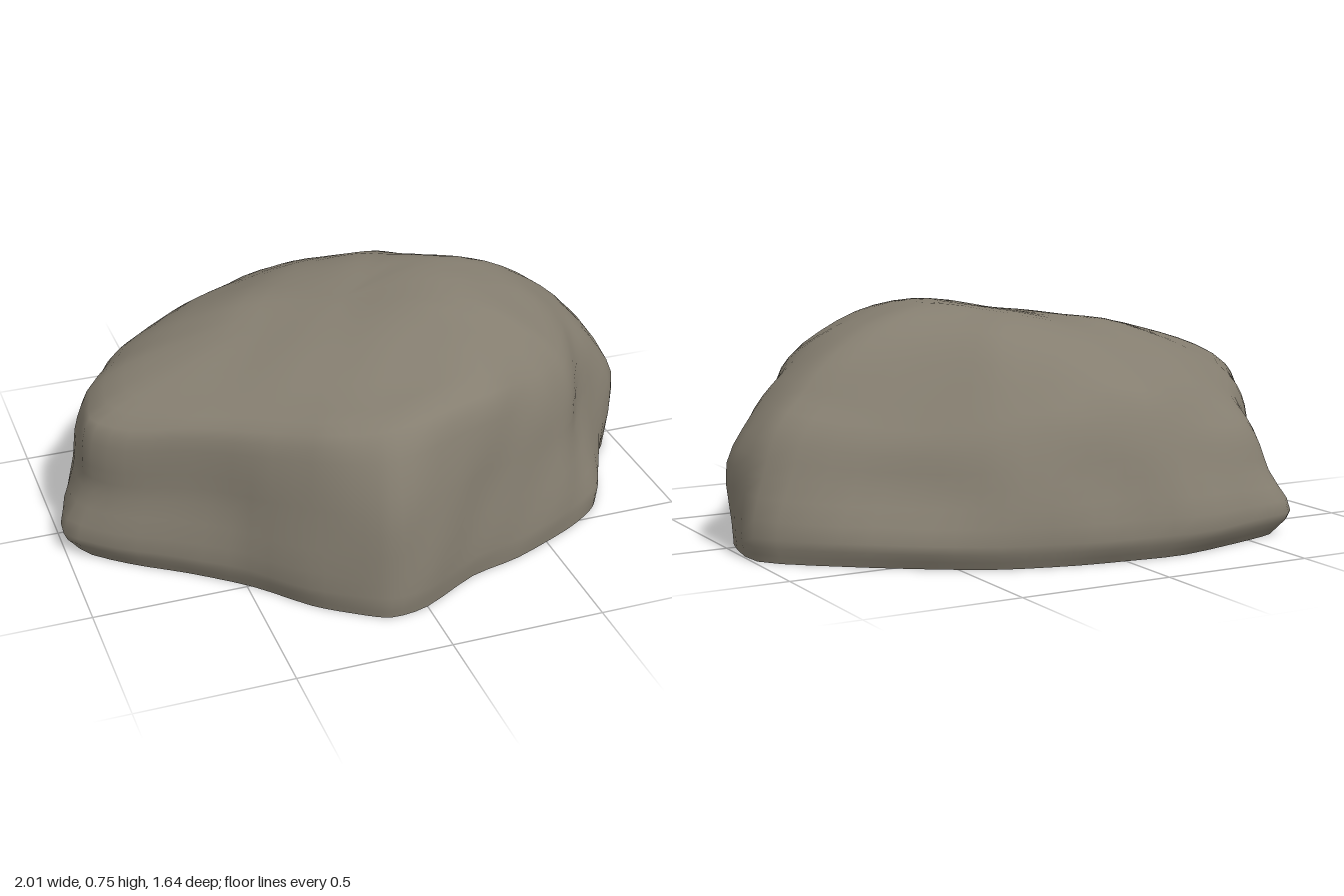
import * as THREE from 'three';
import { mergeVertices } from 'three/addons/utils/BufferGeometryUtils.js';

// Plan outline x, z, then flank scale at mid height, shoulder scale and shoulder height
const OUTLINE = [
  [1.0, -0.22, 0.96, 0.8, 0.52], [0.97, 0.04, 1.0, 0.81, 0.53], [0.88, 0.17, 0.96, 0.83, 0.55],
  [0.78, 0.38, 0.91, 0.82, 0.56], [0.72, 0.46, 0.91, 0.82, 0.55], [0.6, 0.54, 0.94, 0.83, 0.56],
  [0.38, 0.64, 0.96, 0.86, 0.59], [0.2, 0.69, 0.97, 0.89, 0.6], [0.0, 0.8, 0.98, 0.84, 0.6],
  [-0.13, 0.82, 0.98, 0.83, 0.59], [-0.24, 0.76, 0.97, 0.85, 0.58], [-0.35, 0.68, 0.96, 0.87, 0.57],
  [-0.5, 0.52, 0.96, 0.9, 0.54], [-0.68, 0.38, 0.95, 0.91, 0.52], [-0.86, 0.26, 0.95, 0.91, 0.48],
  [-1.0, 0.12, 0.93, 0.88, 0.47], [-0.94, -0.08, 0.97, 0.9, 0.48], [-0.87, -0.2, 0.96, 0.9, 0.48],
  [-0.83, -0.35, 0.93, 0.86, 0.47], [-0.72, -0.48, 0.95, 0.86, 0.45], [-0.68, -0.68, 0.93, 0.79, 0.41],
  [-0.56, -0.74, 0.93, 0.79, 0.42], [-0.22, -0.82, 0.95, 0.79, 0.49], [0.0, -0.8, 0.95, 0.79, 0.52],
  [0.18, -0.77, 0.95, 0.79, 0.5], [0.4, -0.7, 0.93, 0.77, 0.48], [0.58, -0.59, 0.91, 0.75, 0.46],
  [0.8, -0.42, 0.91, 0.75, 0.47],
];
const SIDES = 84;
const RINGS = 24;

// Height of the sloping crown
function crown(x, z) {
  const dx = x - 0.28, dz = z + 0.1;
  return 0.755 - (dx < 0 ? -0.15 * dx : 0.75 * dx * dx) - (dz > 0 ? 0.18 : 0.55) * dz * dz;
}

// Gentle weathered unevenness
function bumps(x, y, z) {
  return 0.5 * Math.sin(9 * x + 5 * z + 2) * Math.sin(8 * z - 4 * x + 7 * y)
    + 0.35 * Math.sin(17 * x - 6 * y + 1) * Math.sin(15 * z + 11 * y);
}

// Points from the ground up the flank and across the crown to the middle
function profile(x, z, mid, shoulder, height) {
  const drop = crown(x * shoulder, z * shoulder) - height;
  const at = (s, y) => new THREE.Vector3(x * s, y, z * s);
  const onCrown = (t) => {
    const s = t * shoulder;
    return at(s, crown(x * s, z * s) - drop * t ** 4);
  };
  return new THREE.CatmullRomCurve3([
    at(0.97 + 0.02 * (x + z), 0), at(1, 0.075), at(mid, height * 0.5),
    at((mid + shoulder) / 2 + 0.015, height * 0.79), at(shoulder, height),
    onCrown(0.78), onCrown(0.52), onCrown(0.26), onCrown(0),
  ]);
}

function geometryFrom(positions, index) {
  let geometry = new THREE.BufferGeometry();
  geometry.setAttribute('position', new THREE.Float32BufferAttribute(positions, 3));
  geometry.setIndex(index);
  geometry = mergeVertices(geometry, 1e-5);
  geometry.computeVertexNormals();
  return geometry;
}

export function createModel() {
  const stone = new THREE.MeshStandardMaterial({ color: 0x857e70 });
  stone.name = 'grey brown stone';

  const loop = (points) => new THREE.CatmullRomCurve3(points, true, 'catmullrom', 0.4);
  const plan = loop(OUTLINE.map(([x, z]) => new THREE.Vector3(x, 0, z)));
  const shape = loop(OUTLINE.map(([, , mid, shoulder, height]) => new THREE.Vector3(mid, shoulder, height)));

  const body = [], bodyIndex = [], base = [0, 0, 0], baseIndex = [];
  for (let i = 0; i < SIDES; i++) {
    const p = plan.getPoint(i / SIDES), s = shape.getPoint(i / SIDES);
    const curve = profile(p.x, p.z, s.x, s.y, s.z);
    const next = (i + 1) % SIDES;
    for (let j = 0; j <= RINGS; j++) {
      const v = curve.getPoint(j / RINGS);
      // Flanks are pushed in and out, the crown up and down
      const b = bumps(v.x, v.y, v.z);
      const flank = j < 13 ? Math.min(1, j / 4) * 0.018 : 0;
      const x = v.x * (1 + b * flank), z = v.z * (1 + b * flank);
      const y = j === 0 ? 0 : v.y + (j > 9 ? 0.01 * b : 0);
      body.push(x, y, z);
      if (j === 0) base.push(x, 0, z);
      if (j < RINGS) {
        const a = i * (RINGS + 1) + j, c = next * (RINGS + 1) + j;
        bodyIndex.push(a, a + 1, c);
        if (j < RINGS - 1) bodyIndex.push(c, a + 1, c + 1);
      }
    }
    baseIndex.push(0, i + 1, next + 1);
  }

  const group = new THREE.Group();
  group.name = 'rock';
  // Weathered flanks and crown
  const boulder = new THREE.Mesh(geometryFrom(body, bodyIndex), stone);
  boulder.name = 'boulder';
  // Flat underside
  const underside = new THREE.Mesh(geometryFrom(base, baseIndex), stone);
  underside.name = 'underside';
  group.add(boulder, underside);
  return group;
}
